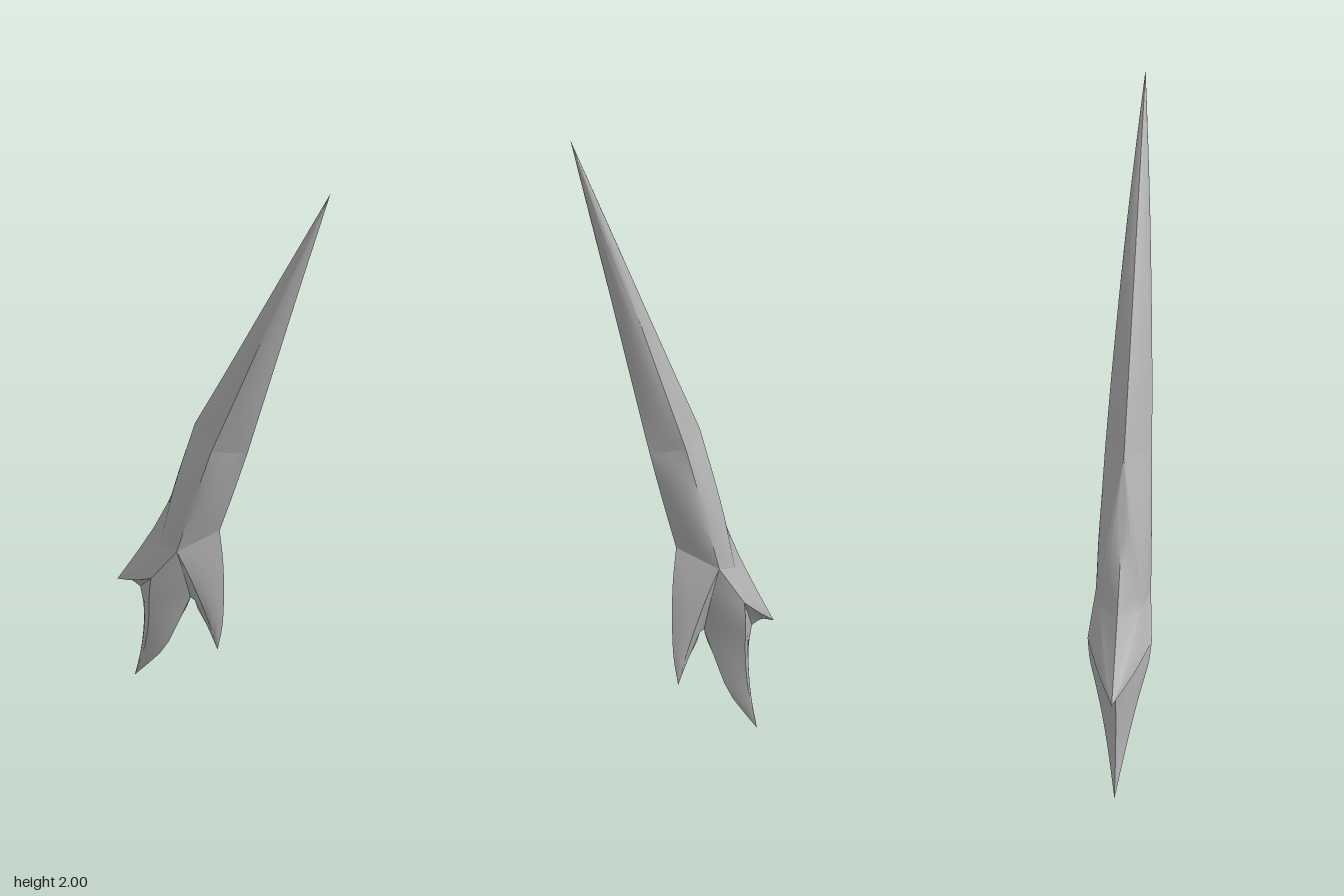
import * as THREE from 'three';
import { mergeGeometries, toCreasedNormals } from 'three/addons/utils/BufferGeometryUtils.js';

const ROWS = 12, COLS = 6;

// Smooth rail through a few points
const rail = (...pts) => new THREE.CatmullRomCurve3(pts.map(p => new THREE.Vector3(p[0], p[1], p[2] || 0)));

// Surface between two rails (a on the left, b on the right going down),
// swollen in the middle, and mirrored to the back
function patch(a, b, bulge = 0) {
  const at = (i, j) => {
    const s = i / ROWS, t = j / COLS;
    const p = a.getPoint(s).lerp(b.getPoint(s), t);
    p.z += bulge * 16 * s * (1 - s) * t * (1 - t);
    return p;
  };
  const out = [];
  const tri = (p, q, r) => {
    const area = q.clone().sub(p).cross(r.clone().sub(p)).length();
    if (area < 1e-9) return;
    for (const v of [p, q, r]) out.push(v.x, v.y, v.z);
    for (const v of [p, r, q]) out.push(v.x, v.y, -v.z);
  };
  for (let i = 0; i < ROWS; i++) for (let j = 0; j < COLS; j++) {
    const p = at(i, j), q = at(i + 1, j), r = at(i + 1, j + 1), s = at(i, j + 1);
    tri(p, q, s);
    tri(q, r, s);
  }
  const g = new THREE.BufferGeometry();
  g.setAttribute('position', new THREE.Float32BufferAttribute(out, 3));
  return g;
}

export function createModel() {
  const group = new THREE.Group();
  const grey = new THREE.MeshStandardMaterial({ color: 0xb4b4b4, side: THREE.DoubleSide });
  grey.name = 'grey';
  const add = (name, ...patches) => {
    const mesh = new THREE.Mesh(toCreasedNormals(mergeGeometries(patches), 0.55), grey);
    mesh.name = name;
    group.add(mesh);
  };

  // Long pointed blade: left edge, middle ridge, right edge
  const tip = [0.365, 2, 0];
  const tipLeft = rail(tip, [0.182, 1.6], [0, 1.2], [-0.1, 0.985]);
  const tipRidge = rail(tip, [0.222, 1.6, 0.033], [0.08, 1.19, 0.058], [0.0, 0.965, 0.068]);
  const tipRight = rail(tip, [0.255, 1.6], [0.142, 1.18], [0.08, 0.95]);
  add('blade', patch(tipLeft, tipRidge, 0.009), patch(tipRidge, tipRight, 0.009));

  // Lower body, stepping down to the fin on its left
  const crease = rail([-0.1, 0.985], [-0.15, 0.74, 0.04], [-0.18, 0.55, 0.062]);
  const bodyRidge = rail([0.0, 0.965, 0.068], [-0.055, 0.77, 0.075], [-0.11, 0.57, 0.08]);
  const bodyRight = rail([0.08, 0.95], [0.03, 0.78], [-0.015, 0.635]);
  add('body', patch(crease, bodyRidge, 0.009), patch(bodyRidge, bodyRight, 0.014));

  // Side prong: outer band and underside
  const sideTip = [-0.365, 0.32, 0];
  const bandTop = rail(sideTip, [-0.28, 0.425, 0.033], [-0.18, 0.55, 0.062]);
  const bandLow = rail(sideTip, [-0.28, 0.38, 0.05], [-0.19, 0.45, 0.093]);
  const bandEndTop = rail([-0.18, 0.55, 0.062], [-0.18, 0.55, 0.062]);
  const bandEndLow = rail([-0.19, 0.45, 0.093], [-0.11, 0.57, 0.08]);
  const underEdge = rail(sideTip, [-0.32, 0.335], [-0.287, 0.325]);
  add('sideProng', patch(bandLow, bandTop, 0.003), patch(bandEndLow, bandEndTop), patch(underEdge, bandLow));

  // Fin set in between the two sides, with a narrow ledge around it
  const finEdge = rail([-0.1, 0.985], [-0.175, 0.71], [-0.24, 0.555]);
  const finInner = rail([-0.1, 0.985], [-0.157, 0.74, 0.028], [-0.188, 0.558, 0.05]);
  const finEdgeLow = rail([-0.24, 0.555], [-0.305, 0.43], sideTip);
  const finInnerLow = rail([-0.188, 0.558, 0.05], [-0.285, 0.43, 0.023], sideTip);
  const creaseLow = rail([-0.18, 0.55, 0.062], [-0.28, 0.425, 0.033], sideTip);
  add('fin', patch(finEdge, finInner), patch(finEdgeLow, finInnerLow));
  add('finLedge', patch(finInner, crease), patch(finInnerLow, creaseLow));

  // Long middle prong
  const midTip = [-0.305, 0, 0];
  const midLeft = rail([-0.287, 0.325], [-0.276, 0.27], [-0.274, 0.22], [-0.277, 0.16], [-0.286, 0.09], midTip);
  const midRidge = rail([-0.19, 0.45, 0.093], [-0.2, 0.39, 0.086], [-0.212, 0.32, 0.068],
    [-0.23, 0.23, 0.046], [-0.26, 0.12, 0.023], midTip);
  const midRight = rail([-0.11, 0.57, 0.08], [-0.108, 0.46, 0.042], [-0.115, 0.355],
    [-0.15, 0.265], [-0.205, 0.135], midTip);
  add('middleProng', patch(midLeft, midRidge, 0.006), patch(midRidge, midRight, 0.005));

  // Short prong beside it
  const shortTip = [-0.022, 0.205, 0];
  const shortLeft = rail([-0.11, 0.57, 0.08], [-0.106, 0.46, 0.042], [-0.1, 0.35], [-0.06, 0.28], shortTip);
  const shortRidge = rail([-0.11, 0.57, 0.08], [-0.085, 0.5, 0.064], [-0.06, 0.41, 0.044],
    [-0.038, 0.305, 0.02], shortTip);
  const shortRight = rail([-0.015, 0.635], [-0.003, 0.53], [0, 0.42], [-0.005, 0.3], shortTip);
  add('shortProng', patch(shortLeft, shortRidge), patch(shortRidge, shortRight, 0.006));

  // Web closing the notch between the two prongs
  const webLeft = rail([-0.11, 0.57, 0.08], [-0.108, 0.46, 0.042], [-0.115, 0.355]);
  const webRight = rail([-0.11, 0.57, 0.08], [-0.106, 0.46, 0.042], [-0.1, 0.35]);
  add('notchWeb', patch(webLeft, webRight));
  return group;
}
